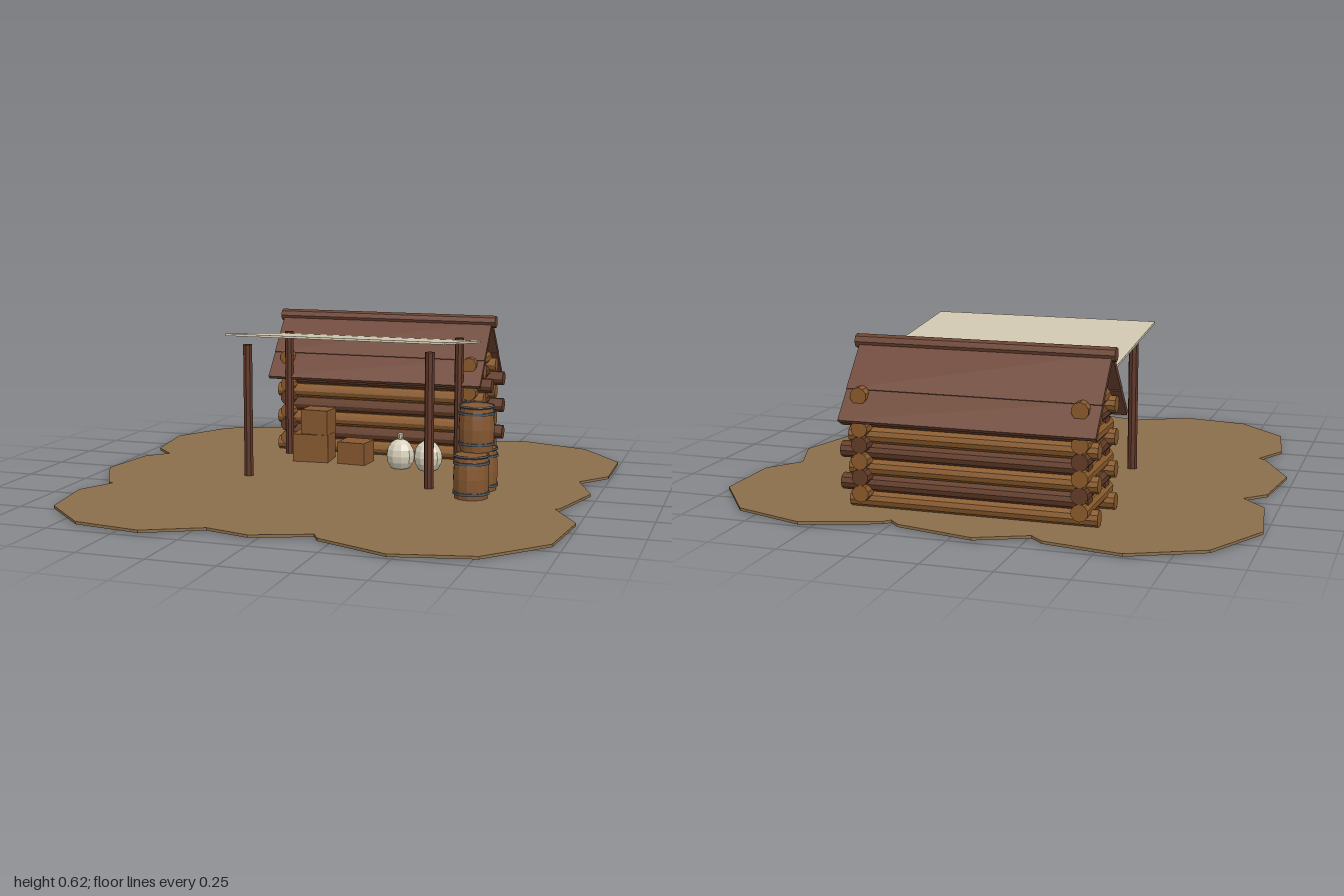
import * as THREE from 'three';

const mat = (name, color, side = THREE.FrontSide) => {
  const m = new THREE.MeshStandardMaterial({ color, side });
  m.name = name;
  m.flatShading = true;
  return m;
};

export function createModel() {
  const model = new THREE.Group();
  const earth = mat('earth', 0x8c6f4c);
  const lightLog = mat('light log', 0x8a5a2b);
  const darkLog = mat('dark log', 0x633c27);
  const roofWood = mat('roof wood', 0x6c4230);
  const postWood = mat('post wood', 0x5f3626);
  const plank = mat('plank', 0x865830);
  const iron = mat('iron', 0x4c5761);
  const canvas = mat('canvas', 0xcfc7b0);
  const sackCloth = mat('sack cloth', 0xd6cfba);

  const add = (name, geo, material, x = 0, y = 0, z = 0, parent = model) => {
    const mesh = new THREE.Mesh(geo, material);
    mesh.name = name;
    mesh.position.set(x, y, z);
    parent.add(mesh);
    return mesh;
  };
  const group = (name, x = 0, y = 0, z = 0) => {
    const g = new THREE.Group();
    g.name = name;
    g.position.set(x, y, z);
    model.add(g);
    return g;
  };

  // Ragged patch of bare earth
  const outline = [
    [-.60, -1], [-.315, -.95], [-.265, -.905], [-.08, -.985], [.21, -.92], [.25, -.88], [.27, -.905],
    [.55, -.995], [.82, -.905], [.995, -.67], [.995, -.38], [.90, -.25], [.975, -.05], [.905, .215],
    [.89, .23], [.995, .41], [.965, .71], [.77, .93], [.48, .995], [.205, .88], [.18, .835],
    [-.03, .915], [-.20, .87], [-.41, .975], [-.67, .935], [-.86, .75], [-.90, .485], [-.83, .345],
    [-.855, .33], [-.975, .09], [-.94, -.175], [-.865, -.25], [-.955, -.345], [-.995, -.63], [-.86, -.88],
  ].map(([x, z]) => new THREE.Vector2(x, -z));
  const slab = new THREE.ExtrudeGeometry(new THREE.Shape(outline), { depth: 0.01, bevelEnabled: false });
  slab.rotateX(-Math.PI / 2);
  add('ground', slab, earth, 0, 0.005, 0);

  // Log cabin walls: courses interlock at the corners
  const cabin = group('cabin', 0, 0, -0.63);
  const logX = new THREE.CylinderGeometry(0.03, 0.03, 0.91, 10).rotateZ(Math.PI / 2);
  const logZ = new THREE.CylinderGeometry(0.031, 0.031, 0.345, 10).rotateX(Math.PI / 2);
  for (let i = 0; i < 7; i++) {
    const odd = i % 2;
    const wood = odd ? darkLog : lightLog;
    for (const s of [-1, 1]) {
      add('longLog', logX, wood, odd ? 0.033 : 0, 0.043 + i * 0.0585, s * 0.112, cabin);
      add('endLog', logZ, wood, s * 0.4, 0.074 + i * 0.0585, 0, cabin);
    }
  }
  add('cabinFloor', new THREE.BoxGeometry(0.8, 0.036, 0.24), darkLog, 0, 0.02, 0, cabin);

  // Gable infill
  const gableShape = new THREE.Shape([[-0.13, 0.42], [0.13, 0.42], [0, 0.555]].map(p => new THREE.Vector2(...p)));
  const gable = new THREE.ExtrudeGeometry(gableShape, { depth: 0.04, bevelEnabled: false });
  gable.translate(0, 0, -0.02).rotateY(Math.PI / 2);
  for (const s of [-1, 1]) add('gable', gable, lightLog, s * 0.4, 0, 0, cabin);

  // Pitched roof: two overlapping boards on each slope, and a ridge pole
  const pitch = Math.atan2(0.24, 0.21);
  for (const s of [-1, 1]) {
    const slope = group('roofSlope', -0.005, 0.587, -0.63);
    slope.rotation.x = s * pitch;
    add('upperRoofBoard', new THREE.BoxGeometry(0.926, 0.018, 0.2), roofWood, 0, 0.002, s * 0.1, slope);
    add('lowerRoofBoard', new THREE.BoxGeometry(0.926, 0.018, 0.14), roofWood, 0, -0.002, s * 0.255, slope);
  }
  const ridge = new THREE.CylinderGeometry(0.026, 0.026, 0.955, 8).rotateZ(Math.PI / 2);
  add('ridgePole', ridge, roofWood, -0.003, 0.59, -0.63);

  // Canvas awning on four posts
  const awning = add('awning', new THREE.BoxGeometry(0.885, 0.009, 0.6), canvas, -0.003, 0.553, -0.193);
  awning.rotation.x = -Math.atan2(0.065, 0.6);
  const post = new THREE.CylinderGeometry(0.019, 0.019, 0.54, 8);
  for (const x of [-0.377, 0.367])
    for (const z of [-0.425, 0.045]) add('post', post, postWood, x, 0.272, z);

  // Stacked barrels with iron hoops
  const staves = new THREE.LatheGeometry(
    [[0, 0], [0.063, 0], [0.067, 0.045], [0.069, 0.085], [0.067, 0.125], [0.063, 0.172], [0, 0.172]]
      .map(p => new THREE.Vector2(...p)), 12);
  const hoop = new THREE.CylinderGeometry(0.0705, 0.0705, 0.01, 12, 1);
  const rim = new THREE.TorusGeometry(0.065, 0.005, 4, 12).rotateX(Math.PI / 2);
  for (const [y, z] of [[0.006, -0.008], [0.006, 0.14], [0.18, 0.063]]) {
    const barrel = group('barrel', 0.556, y, z);
    add('staves', staves, plank, 0, 0, 0, barrel);
    for (const h of [0.03, 0.145]) add('hoop', hoop, iron, 0, h, 0, barrel);
    add('rim', rim, iron, 0, 0.17, 0, barrel);
  }

  // Wooden crates
  const crates = [
    [0.15, 0.13, 0.13, -0.233, 0.066, -0.335, 0.08],
    [0.118, 0.103, 0.1, -0.212, 0.182, -0.33, -0.06],
    [0.12, 0.103, 0.11, -0.048, 0.055, -0.33, -0.08],
  ];
  for (const [w, h, d, x, y, z, turn] of crates)
    add('crate', new THREE.BoxGeometry(w, h, d), plank, x, y, z).rotation.y = turn;

  // Tied sacks
  const sack = new THREE.SphereGeometry(0.06, 10, 8).scale(1, 1.13, 0.92);
  for (const x of [0.16, 0.277]) {
    add('sack', sack, sackCloth, x, 0.0685, -0.28);
    add('sackTie', new THREE.CylinderGeometry(0.014, 0.009, 0.028, 8), sackCloth, x, 0.145, -0.28);
  }
  return model;
}
